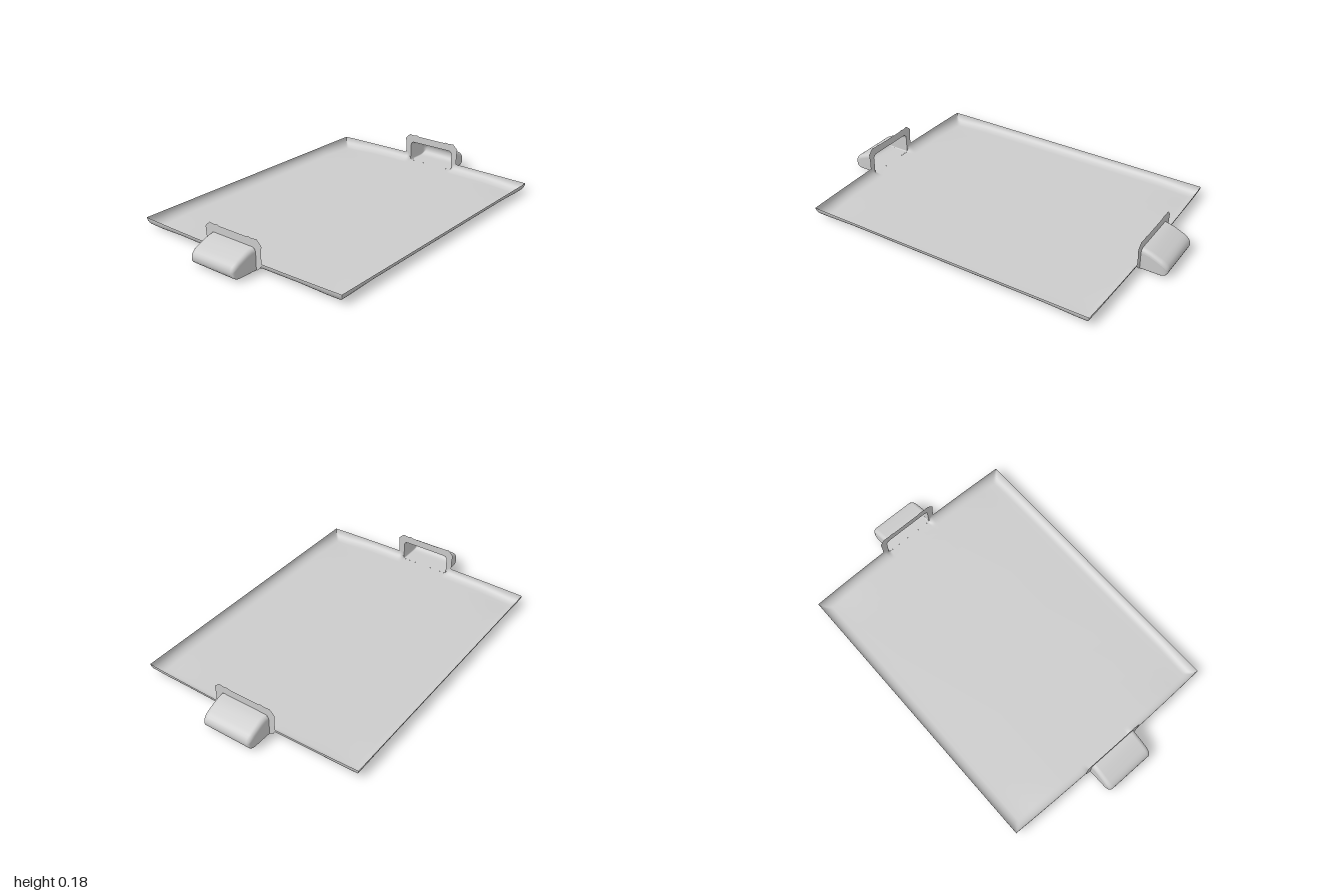
import * as THREE from 'three';

const material = new THREE.MeshStandardMaterial({ color: 0xcccccc, side: THREE.DoubleSide });
const EDGE = 0.853, DEPTH = 0.662, FLOOR = 0.01, RIM = 0.055, CURL = 0.055;

// Smooth surface through rows of equally many points.
function loft(rows) {
  const n = rows[0].length, index = [];
  for (let i = 0; i < rows.length - 1; i++) {
    for (let j = 0; j < n - 1; j++) {
      const a = i * n + j, b = a + 1, c = a + n, d = c + 1;
      index.push(a, b, c, b, d, c);
    }
  }
  const g = new THREE.BufferGeometry();
  g.setAttribute('position', new THREE.Float32BufferAttribute(rows.flat(2), 3));
  g.setIndex(index);
  g.computeVertexNormals();
  return g;
}

function addMesh(parent, name, geometry) {
  const mesh = new THREE.Mesh(geometry, material);
  mesh.name = name;
  parent.add(mesh);
}

// Grid lines, closely spaced where the rim curls up.
function gridLines(half, inner) {
  const side = inner.slice();
  for (let i = 0; i <= 8; i++) side.push(half - CURL + CURL * Math.sin(i / 8 * Math.PI / 2));
  return [...side.map(v => -v).reverse(), 0, ...side];
}

// Thin sheet whose edges curl up, left open in front of each handle.
function trayGeometry() {
  const xs = gridLines(EDGE, [0.3, 0.6, 0.7, 0.76]);
  const zs = gridLines(DEPTH, [0.08, 0.14, 0.148, 0.156, 0.165, 0.175, 0.19, 0.3, 0.4, 0.5, 0.56]);
  const curl = d => {
    const t = THREE.MathUtils.clamp(1 - d / CURL, 0, 1);
    return (RIM - FLOOR) * (1 - Math.sqrt(1 - t * t));
  };
  return loft(xs.map(x => zs.map(z => {
    const ax = Math.abs(x), az = Math.abs(z);
    const wall = THREE.MathUtils.smoothstep(az, 0.14, 0.175);
    const lift = Math.max(curl(EDGE - ax) * wall, curl(DEPTH - az));
    const sag = 0.009 * THREE.MathUtils.smoothstep(ax, 0.6, 0.8) * THREE.MathUtils.smoothstep(az, 0.4, 0.58);
    const taper = 1 - 0.014 * (az / DEPTH) ** 2;
    return [x * taper, FLOOR + lift - sag * (1 - lift / (RIM - FLOOR)), z];
  })));
}

// Hollow grip: rounded sections tapering to a blunt nose.
function gripGeometry() {
  // x, bottom, top, half width
  const stations = [
    [0.853, 0.01, 0.13, 0.15], [0.875, 0.01, 0.127, 0.149], [0.9, 0.01, 0.121, 0.149],
    [0.93, 0.01, 0.109, 0.149], [0.96, 0.01, 0.096, 0.149], [0.975, 0.012, 0.088, 0.148],
    [0.988, 0.018, 0.078, 0.145], [0.996, 0.028, 0.067, 0.14], [1, 0.04, 0.056, 0.132], [1, 0.048, 0.048, 0.12]
  ];
  return loft(stations.map(([x, low, high, w]) => {
    const row = [];
    const r = Math.min(0.024, (high - low) / 2), foot = Math.min(0.006, r);
    const corner = (sz, sy, rad, start) => {
      for (let i = 0; i <= 5; i++) {
        const a = start + i / 5 * Math.PI / 2;
        row.push([x, (sy > 0 ? high - rad : low + rad) + rad * Math.sin(a), sz * (w - rad) + rad * Math.cos(a)]);
      }
    };
    corner(1, 1, r, 0);
    corner(-1, 1, r, Math.PI / 2);
    corner(-1, -1, foot, Math.PI);
    corner(1, -1, foot, Math.PI * 1.5);
    row.push(row[0].slice());
    return row;
  }));
}

// Thin upright frame with an uneven top, around the mouth of the grip.
function flangeGeometry() {
  const half = [[0.186, 0.05], [0.185, 0.1], [0.189, 0.148], [0.178, 0.16], [0.158, 0.178], [0.125, 0.174], [0.105, 0.178], [0.09, 0.173]];
  const outline = [[0.15, FLOOR], [0.176, 0.03], ...half];
  const points = [...outline, ...outline.map(([z, y]) => [-z, y]).reverse()];
  const shape = new THREE.Shape(points.map(p => new THREE.Vector2(...p)));
  // The opening is part of the outline, so the frame is an upside-down U
  shape.lineTo(-0.149, 0.106);
  shape.quadraticCurveTo(-0.149, 0.13, -0.125, 0.13);
  shape.lineTo(0.125, 0.13);
  shape.quadraticCurveTo(0.149, 0.13, 0.149, 0.106);
  shape.closePath();
  return new THREE.ShapeGeometry(shape, 6).rotateY(Math.PI / 2).translate(EDGE, 0, 0);
}

export function createModel() {
  const model = new THREE.Group();
  model.name = 'servingTray';
  addMesh(model, 'trayPanel', trayGeometry());
  for (const [name, turn] of [['leftHandle', 0], ['rightHandle', Math.PI]]) {
    const handle = new THREE.Group();
    handle.name = name;
    addMesh(handle, 'grip', gripGeometry());
    addMesh(handle, 'flange', flangeGeometry());
    handle.rotation.y = turn;
    model.add(handle);
  }
  return model;
}
